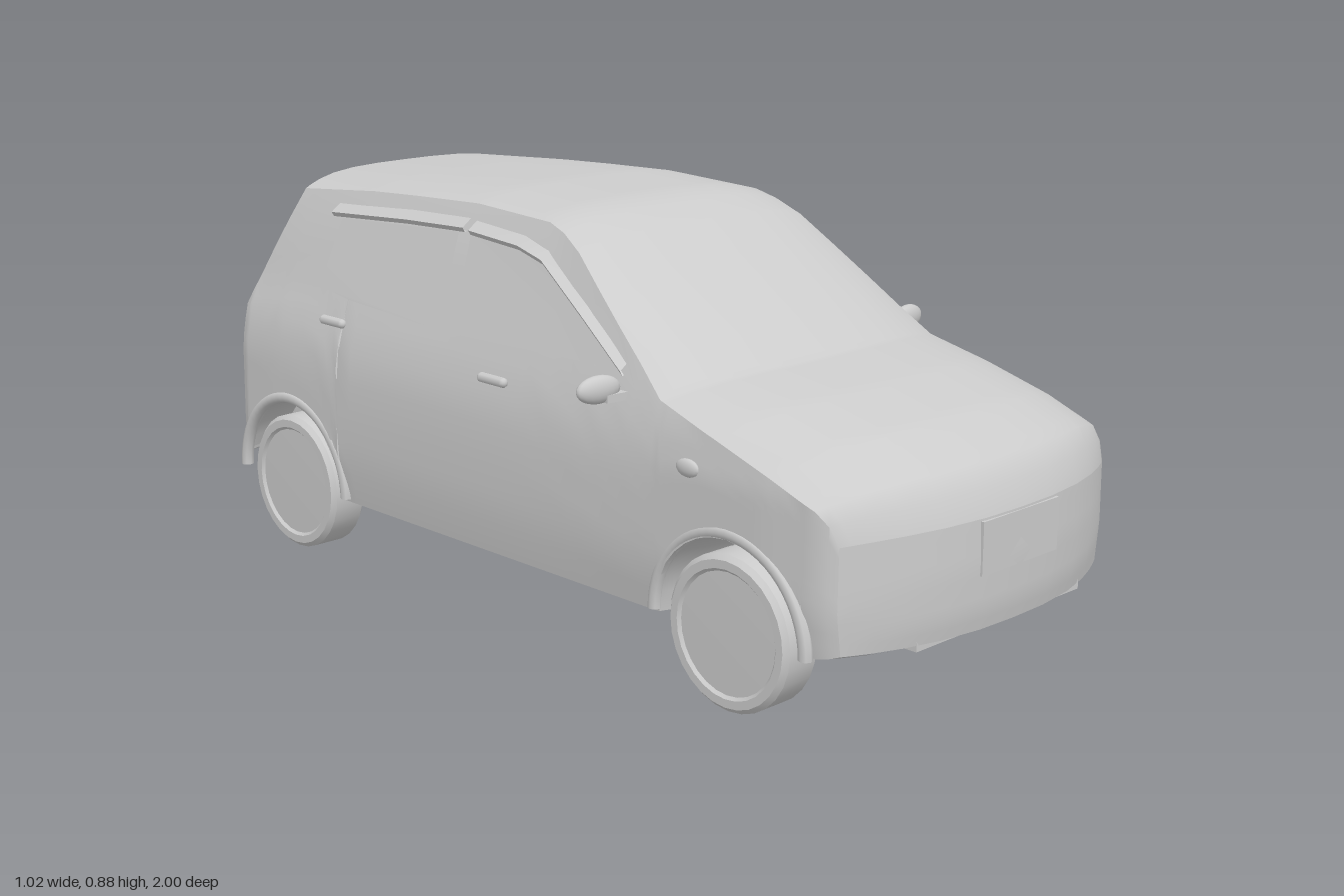
import * as THREE from 'three';
import { toCreasedNormals } from 'three/addons/utils/BufferGeometryUtils.js';

const grey = new THREE.MeshStandardMaterial({ color: 0xcccccc });
const thin = new THREE.MeshStandardMaterial({ color: 0xcccccc, side: THREE.DoubleSide });

// Stations along the side: z, plan bulge at centre, top height, top edge drop, width factor, floor height
const STATIONS = [
  [-0.93, -0.055, 0.56, 0.02, 0.965, 0.19],
  [-0.91, -0.053, 0.605, 0.025, 0.98, 0.19],
  [-0.8, -0.04, 0.845, 0.03, 0.99, 0.17],
  [-0.55, -0.01, 0.861, 0.025, 1, 0.15],
  [-0.4, 0, 0.868, 0.025, 1, 0.15],
  [-0.2, 0, 0.875, 0.025, 1, 0.15],
  [0.03, 0.005, 0.865, 0.025, 1, 0.15],
  [0.08, 0.01, 0.85, 0.025, 1, 0.15],
  [0.14, 0.015, 0.82, 0.025, 1, 0.15],
  [0.45, 0.06, 0.595, 0.03, 1, 0.15],
  [0.6, 0.07, 0.57, 0.045, 1, 0.16],
  [0.75, 0.085, 0.53, 0.05, 0.995, 0.16],
  [0.86, 0.092, 0.48, 0.04, 0.975, 0.16],
  [0.885, 0.096, 0.44, 0.025, 0.95, 0.165],
  [0.9, 0.098, 0.39, 0.012, 0.925, 0.17],
];
// Half width of the body by height
const WIDTH = [[0.15, 0.42], [0.25, 0.435], [0.45, 0.432], [0.53, 0.418], [0.6, 0.39],
  [0.7, 0.36], [0.8, 0.325], [0.85, 0.3], [0.88, 0.27]];
const AXLES = [-0.73, 0.65];
const ARCH = 0.185, WHEEL = 0.155, AXLE_Y = 0.157;
const U = [0, 0.25, 0.5, 0.7, 0.85, 0.95, 1];
const ACROSS = [...U.slice(1).reverse(), ...U.map((u) => -u)];

// Linear interpolation in a table keyed by its first column
function lookup(table, t) {
  let i = 1;
  while (i < table.length - 1 && table[i][0] < t) i++;
  const a = table[i - 1], b = table[i];
  const k = THREE.MathUtils.clamp((t - a[0]) / (b[0] - a[0]), 0, 1);
  return a.map((v, n) => v + (b[n] - v) * k);
}
const halfWidth = (y) => lookup(WIDTH, y)[1];

// Skin between rows of points
function loft(rows, crease = 0.6) {
  const n = rows[0].length, index = [];
  for (let i = 0; i < rows.length - 1; i++) {
    for (let j = 0; j < n - 1; j++) {
      const a = i * n + j, d = a + n;
      index.push(a, a + 1, d + 1, a, d + 1, d);
    }
  }
  const g = new THREE.BufferGeometry();
  g.setAttribute('position', new THREE.Float32BufferAttribute(rows.flat(2), 3));
  g.setIndex(index);
  return toCreasedNormals(g, crease);
}

function add(group, name, geometry, x = 0, y = 0, z = 0, material = grey) {
  const m = new THREE.Mesh(geometry, material);
  m.name = name;
  m.position.set(x, y, z);
  group.add(m);
  return m;
}

// Lower edge of the side skin, lifted over the wheels
function lowerEdge(s, floor) {
  let y = floor;
  for (const c of AXLES) {
    const d = ARCH * ARCH - (s - c) ** 2;
    if (d > 0) y = Math.max(y, AXLE_Y + Math.sqrt(d));
  }
  return y;
}

const bend = (s, b, u) => s + b * (1 - Math.abs(u) ** 2.5);

// Point on the bonnet, screen, roof or hatch
function topPoint(s, u, lift = 0) {
  const [, b, top, drop, p] = lookup(STATIONS, s);
  return [u * halfWidth(top - drop) * p, top - drop * u ** 4 + lift, bend(s, b, u)];
}

// Closed cross-section: floor, wheel well, side, top and mirrored back
function section(s) {
  const [, b, top, drop, p, floor] = lookup(STATIONS, s);
  const low = lowerEdge(s, floor), edge = top - drop, half = [];
  const under = (u, y) => half.push([u * halfWidth(low) * p, y, bend(s, b, u)]);
  for (const u of [0, 0.25, 0.5, 0.7]) under(u, floor);
  for (const u of [0.7, 0.85, 0.95]) under(u, low);
  for (let i = 0; i <= 10; i++) {
    const y = low + (edge - low) * i / 10;
    half.push([halfWidth(y) * p, y, s]);
  }
  for (const u of [0.95, 0.85, 0.7, 0.5, 0.25, 0]) half.push(topPoint(s, u));
  return [...half, ...half.slice(0, -1).reverse().map(([x, y, z]) => [-x, y, z])];
}

// Curved bumper face closing one end
function endFace(s, swell) {
  const [, b, top, drop, p, floor] = lookup(STATIONS, s);
  const across = s > 0 ? [...ACROSS].reverse() : ACROSS;
  const rows = [];
  for (let i = 0; i <= 10; i++) {
    const v = i / 10;
    const x = halfWidth(floor + (top - drop - floor) * v) * p;
    rows.push(across.map((u) => [u * x, floor + (top - drop * u ** 4 - floor) * v,
      bend(s, b, u) + lookup(swell, v)[1] * (1 - u ** 4)]));
  }
  return loft(rows);
}

// Flat outline in (z, y) laid onto the body side
function sidePanel(outline, side, offset) {
  const g = new THREE.ShapeGeometry(new THREE.Shape(outline.map(([z, y]) => new THREE.Vector2(z, y))));
  const p = g.attributes.position;
  for (let i = 0; i < p.count; i++) {
    const z = p.getX(i), y = p.getY(i);
    p.setXYZ(i, side * (halfWidth(y) + offset), y, z);
  }
  g.computeVertexNormals();
  return g;
}

// Rain guard: a thin wedge following the top of a window
function rainGuard(path, side) {
  return loft(path.map(([z, y]) => {
    const x = halfWidth(y);
    return [[x - 0.01, y + 0.015, z], [x + 0.016, y - 0.004, z], [x + 0.01, y - 0.014, z],
      [x - 0.01, y - 0.008, z]].map(([a, h, d]) => [side * a, h, d]);
  }), 0.3);
}

export function createModel() {
  const car = new THREE.Group();
  car.name = 'car';

  // Body shell, with extra stations around the wheel arches
  const stops = STATIONS.map((r) => r[0]);
  for (const c of AXLES) {
    for (let i = 0; i <= 16; i++) stops.push(c + ARCH * Math.cos(Math.PI * i / 16));
  }
  for (let s = -0.5; s < 0.46; s += 0.08) stops.push(s);
  stops.sort((a, b) => a - b);
  const stations = stops.filter((s, i) => i === 0 || s - stops[i - 1] > 1e-4);
  add(car, 'bodyShell', loft(stations.map(section)));
  add(car, 'frontBumper', endFace(0.9, [[0, -0.008], [0.2, 0], [0.6, 0.003], [1, 0]]));
  add(car, 'rearBumper', endFace(-0.93, [[0, 0.012], [0.35, -0.01], [0.45, -0.012], [0.5, 0], [1, 0]]));

  // Windscreen and rear window
  const glass = (name, from, to, reach) => add(car, name, loft(
    [from, ...stations.filter((s) => s > from && s < to), to]
      .map((s) => ACROSS.map((u) => topPoint(s, u * reach, 0.004)))), 0, 0, 0, thin);
  glass('windscreen', 0.14, 0.445, 0.93);
  glass('rearWindow', -0.9, -0.82, 0.82);

  // Number plates, hatch garnish and lower intake
  add(car, 'frontPlate', new THREE.BoxGeometry(0.23, 0.105, 0.012), 0, 0.333, 0.994);
  add(car, 'hatchGarnish', new THREE.BoxGeometry(0.3, 0.035, 0.02), 0, 0.535, -0.981);
  add(car, 'rearPlate', new THREE.BoxGeometry(0.22, 0.09, 0.012), 0, 0.455, -0.983);
  add(car, 'frontLip', new THREE.BoxGeometry(0.5, 0.02, 0.06), 0, 0.168, 0.93);

  // Wheel turned around its axle
  const profile = [[0, -0.046], [0.125, -0.046], [0.145, -0.046], [WHEEL, -0.036], [WHEEL, 0.036],
    [0.145, 0.046], [0.128, 0.046], [0.122, 0.04], [0, 0.042]];
  const wheel = toCreasedNormals(new THREE.LatheGeometry(
    profile.map(([r, h]) => new THREE.Vector2(r, h)), 28), 0.5);

  const frontWindow = [[0.33, 0.6], [0.2, 0.675], [0.04, 0.765], [-0.02, 0.78], [-0.19, 0.79], [-0.18, 0.59]];
  const rearWindow = [[-0.23, 0.59], [-0.23, 0.79], [-0.63, 0.77], [-0.66, 0.62], [-0.55, 0.605]];

  for (const side of [1, -1]) {
    const label = side > 0 ? 'left' : 'right';
    for (const z of AXLES) {
      const end = z > 0 ? 'Front' : 'Rear';
      const w = add(car, label + end + 'Wheel', wheel, side * 0.384, WHEEL, z);
      w.rotation.z = -side * Math.PI / 2;
      // Flared lip over the wheel
      const lip = add(car, label + end + 'ArchLip',
        new THREE.TorusGeometry(ARCH + 0.01, 0.014, 8, 28, Math.PI), side * 0.423, AXLE_Y, z);
      lip.rotation.y = Math.PI / 2;
    }
    add(car, label + 'FrontWindow', sidePanel(frontWindow, side, 0.003), 0, 0, 0, thin);
    add(car, label + 'RearWindow', sidePanel(rearWindow, side, 0.003), 0, 0, 0, thin);
    add(car, label + 'FrontRainGuard', rainGuard(
      [[0.34, 0.605], [0.2, 0.69], [0.05, 0.775], [-0.03, 0.793], [-0.19, 0.803]], side), 0, 0, 0, thin);
    add(car, label + 'RearRainGuard', rainGuard(
      [[-0.21, 0.806], [-0.4, 0.8], [-0.66, 0.785]], side), 0, 0, 0, thin);

    // Door handles and side lamp
    add(car, label + 'FrontHandle', new THREE.CapsuleGeometry(0.011, 0.065, 4, 8),
      side * 0.423, 0.523, -0.02).rotation.x = Math.PI / 2;
    add(car, label + 'RearHandle', new THREE.CapsuleGeometry(0.011, 0.065, 4, 8),
      side * 0.411, 0.553, -0.58).rotation.x = Math.PI / 2;
    add(car, label + 'SideLamp', new THREE.SphereGeometry(1, 14, 10), side * 0.43, 0.458, 0.55)
      .scale.set(0.01, 0.018, 0.03);

    // Door mirror on its arm
    const mirror = new THREE.Group();
    mirror.name = label + 'Mirror';
    mirror.position.set(side * 0.46, 0.575, 0.338);
    mirror.rotation.y = side * 0.12;
    add(mirror, 'mirrorHousing', new THREE.SphereGeometry(1, 18, 12)).scale.set(0.051, 0.028, 0.018);
    add(mirror, 'mirrorArm', new THREE.BoxGeometry(0.07, 0.016, 0.024), side * -0.045, -0.018, 0.004);
    car.add(mirror);
  }
  return car;
}
